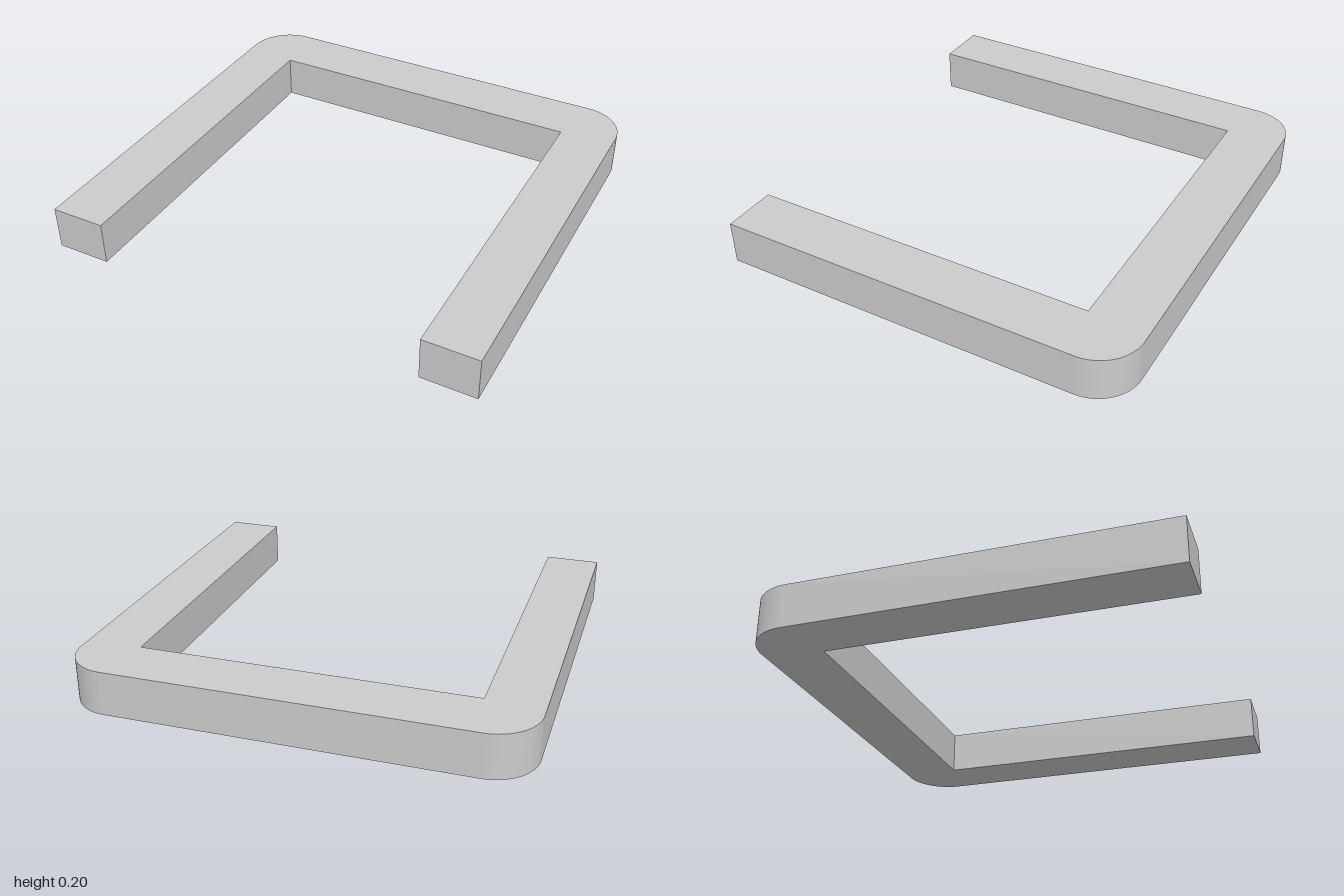
import * as THREE from 'three';
import { toCreasedNormals } from 'three/addons/utils/BufferGeometryUtils.js';

const OUTER_X = 1, INNER_X = 0.75;       // half widths
const END = 0.933, INNER_BACK = 0.667;   // half depth, inner face of the back bar
const HEIGHT = 0.2, RADIUS = 0.2;        // thickness, outer corner radius

export function createModel() {
  const group = new THREE.Group();
  group.name = 'uFrame';

  // U-shaped outline, drawn with the back of the frame towards +y
  const outline = new THREE.Shape();
  outline.moveTo(INNER_X, -END);
  outline.lineTo(OUTER_X, -END);
  outline.lineTo(OUTER_X, END - RADIUS);
  outline.absarc(OUTER_X - RADIUS, END - RADIUS, RADIUS, 0, Math.PI / 2, false);
  outline.lineTo(-OUTER_X + RADIUS, END);
  outline.absarc(-OUTER_X + RADIUS, END - RADIUS, RADIUS, Math.PI / 2, Math.PI, false);
  outline.lineTo(-OUTER_X, -END);
  outline.lineTo(-INNER_X, -END);
  outline.lineTo(-INNER_X, INNER_BACK);
  outline.lineTo(INNER_X, INNER_BACK);
  outline.closePath();

  // Extrude and lay flat on the ground
  const geometry = new THREE.ExtrudeGeometry(outline, {
    depth: HEIGHT, bevelEnabled: false, curveSegments: 16,
  });
  geometry.rotateX(-Math.PI / 2);

  const frame = new THREE.Mesh(
    toCreasedNormals(geometry, Math.PI / 6),
    new THREE.MeshStandardMaterial({ color: 0xcccccc }),
  );
  frame.name = 'frame';
  group.add(frame);
  return group;
}
